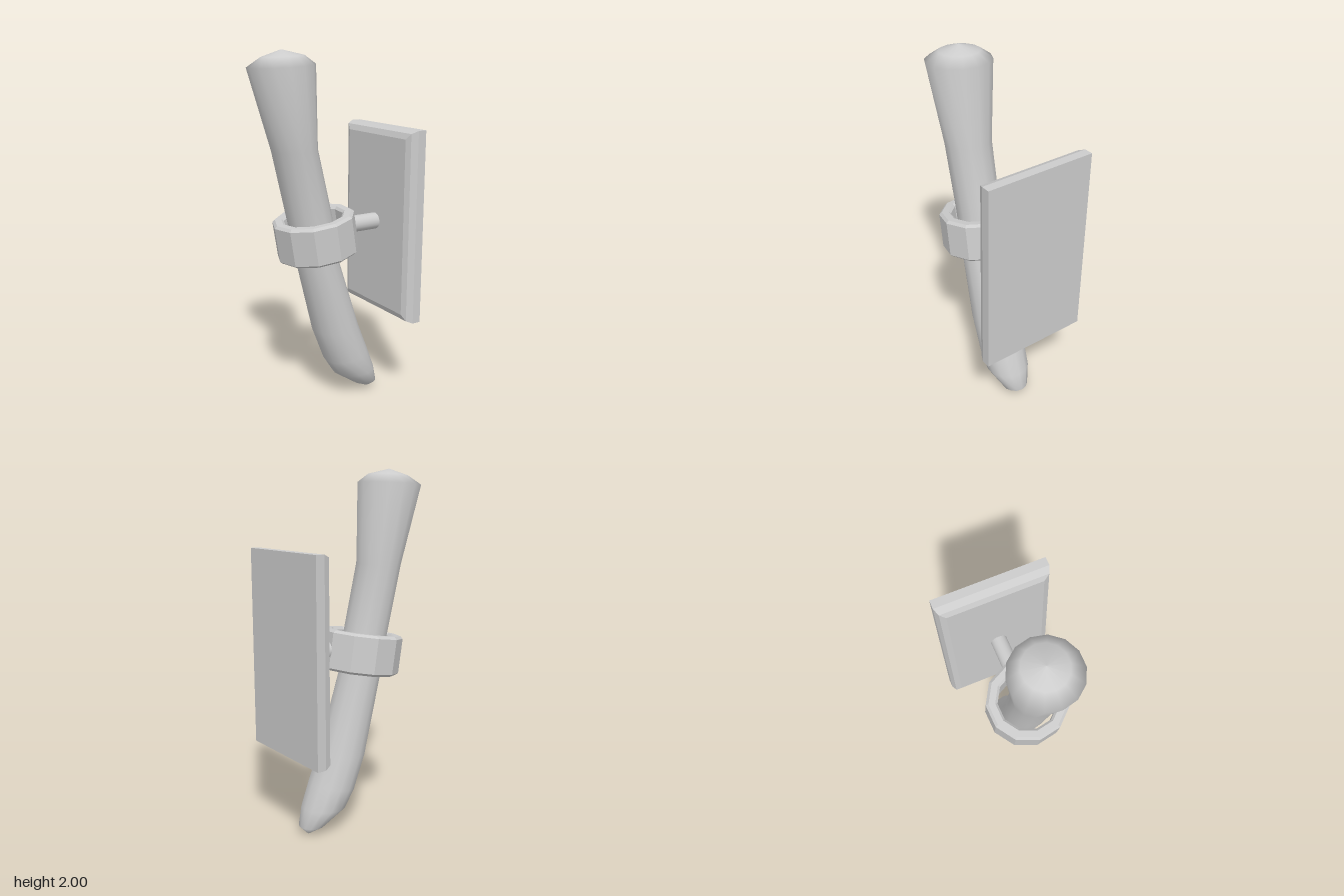
import * as THREE from 'three';
import { mergeVertices } from 'three/addons/utils/BufferGeometryUtils.js';

// Skins a series of equal-sized rings of points, closing both ends to a centre point.
function loft(rings) {
  const centre = ring => {
    const c = new THREE.Vector3();
    ring.forEach(p => c.addScaledVector(p, 1 / ring.length));
    return ring.map(() => c);
  };
  const all = [centre(rings[0]), ...rings, centre(rings[rings.length - 1])];
  const n = rings[0].length, positions = [], index = [];
  all.forEach(ring => ring.forEach(p => positions.push(p.x, p.y, p.z)));
  for (let i = 0; i < all.length - 1; i++) {
    for (let j = 0; j < n; j++) {
      const a = i * n + j, b = i * n + (j + 1) % n, c = a + n, d = b + n;
      if (i > 0) index.push(a, b, c);
      if (i < all.length - 2) index.push(b, d, c);
    }
  }
  const geometry = new THREE.BufferGeometry();
  geometry.setAttribute('position', new THREE.Float32BufferAttribute(positions, 3));
  geometry.setIndex(index);
  return mergeVertices(geometry);
}

function addMesh(group, name, geometry, flatShading = false) {
  const material = new THREE.MeshStandardMaterial({ color: 0xcccccc, flatShading });
  const mesh = new THREE.Mesh(geometry, material);
  mesh.name = name;
  group.add(mesh);
  return mesh;
}

export function createModel() {
  const group = new THREE.Group();
  group.name = 'wallTorch';

  // Curved shaft: each section is [left x, left y, right x, right y, half depth]
  const sections = [
    [-0.262, 2.0, -0.258, 2.0, 0.002],
    [-0.365, 1.962, -0.14, 1.974, 0.11],
    [-0.44, 1.91, -0.083, 1.93, 0.178],
    [-0.31, 1.48, -0.067, 1.49, 0.133],
    [-0.22, 1.08, 0.025, 1.12, 0.123],
    [-0.17, 0.86, 0.06, 0.88, 0.125],
    [-0.065, 0.43, 0.205, 0.44, 0.135],
    [0.012, 0.23, 0.268, 0.285, 0.135],
    [0.07, 0.14, 0.32, 0.15, 0.125],
    [0.2, 0.05, 0.348, 0.05, 0.075],
    [0.295, 0.003, 0.305, 0.006, 0.008],
  ];
  const sides = 14;
  const shaftRings = sections.map(([lx, ly, rx, ry, depth]) =>
    Array.from({ length: sides }, (_, j) => {
      const t = (j / sides) * Math.PI * 2, u = (1 + Math.cos(t)) / 2;
      return new THREE.Vector3(lx + (rx - lx) * u, ly + (ry - ly) * u, depth * Math.sin(t));
    }));
  const shaft = loft(shaftRings);
  shaft.computeVertexNormals();
  addMesh(group, 'shaft', shaft);

  // Tilted eleven-sided holding band with bevelled rims
  const profile = [
    [0.178, -0.11], [0.215, -0.11], [0.23, -0.097], [0.23, 0.097], [0.215, 0.11],
    [0.178, 0.11], [0.165, 0.097], [0.165, -0.097], [0.178, -0.11],
  ].map(([r, y]) => new THREE.Vector2(r, y));
  const band = addMesh(group, 'holderBand',
    new THREE.LatheGeometry(profile, 11, THREE.MathUtils.degToRad(100.3)), true);
  band.position.set(-0.06, 1.004, 0);
  band.rotation.z = THREE.MathUtils.degToRad(9);

  // Round arm joining the band to the plate
  const arm = addMesh(group, 'arm', new THREE.CylinderGeometry(0.047, 0.047, 0.21, 20));
  arm.rotation.z = Math.PI / 2;
  arm.position.set(0.25, 1.033, 0);

  // Wall plate with rounded inner edges: each step is [x, inset]
  const corners = [[1, -1], [1, 1], [-1, 1], [-1, -1]];
  const plateRings = [[0.34, 0.048], [0.353, 0.016], [0.39, 0], [0.44, 0]].map(([x, inset]) =>
    corners.map(([sy, sz]) =>
      new THREE.Vector3(x, 1.035 + sy * (0.545 - inset), sz * (0.315 - inset))));
  const plate = loft(plateRings).toNonIndexed();
  plate.computeVertexNormals();
  addMesh(group, 'wallPlate', plate, true);

  return group;
}
